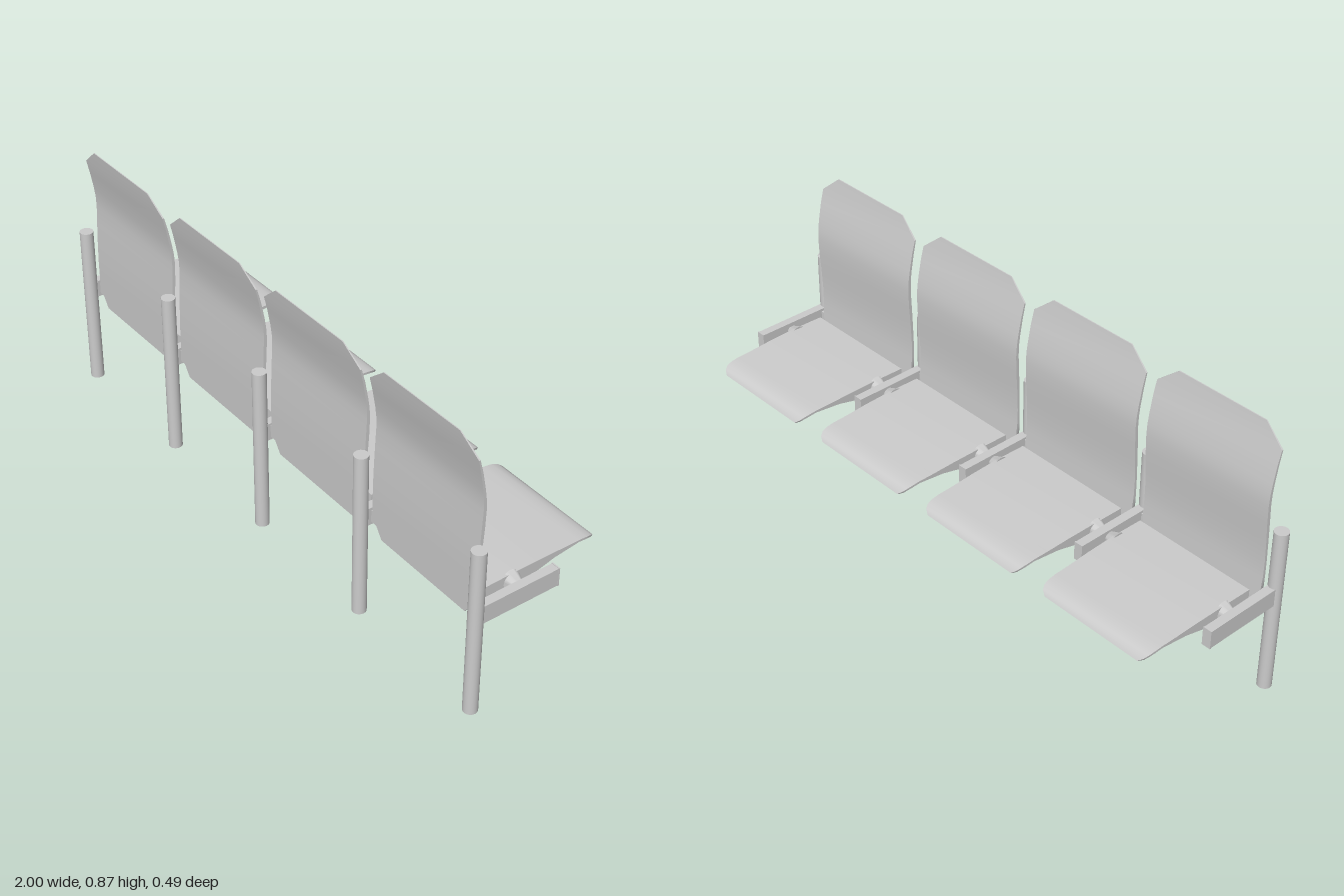
import * as THREE from 'three';
import { toCreasedNormals } from 'three/addons/utils/BufferGeometryUtils.js';

const PITCH = 0.487;

// Lofts a slab through rows of [y1, z1, y2, z2, halfWidth]: two faces and a width.
function slab(rows) {
  const pos = [], idx = [];
  rows.forEach(([y1, z1, y2, z2, w]) =>
    pos.push(-w, y1, z1, w, y1, z1, w, y2, z2, -w, y2, z2));
  for (let r = 0; r < rows.length - 1; r++) {
    for (let i = 0; i < 4; i++) {
      const a = r * 4 + i, b = r * 4 + (i + 1) % 4;
      idx.push(a, a + 4, b, b, a + 4, b + 4);
    }
  }
  const e = (rows.length - 1) * 4;
  idx.push(0, 1, 2, 0, 2, 3, e, e + 2, e + 1, e, e + 3, e + 2);
  const g = new THREE.BufferGeometry();
  g.setAttribute('position', new THREE.Float32BufferAttribute(pos, 3));
  g.setIndex(idx);
  return toCreasedNormals(g, 0.6);
}

// Backrest: [height, seat-side z, rear z, half width]
const BACK = [
  [0.285, 0.184, 0.200, 0.180], [0.345, 0.187, 0.200, 0.222],
  [0.40, 0.191, 0.200, 0.223], [0.447, 0.192, 0.200, 0.223],
  [0.516, 0.189, 0.198, 0.223], [0.586, 0.184, 0.195, 0.223],
  [0.644, 0.182, 0.192, 0.223], [0.68, 0.184, 0.193, 0.223],
  [0.713, 0.189, 0.197, 0.223], [0.77, 0.200, 0.207, 0.223],
  [0.815, 0.212, 0.217, 0.223], [0.872, 0.222, 0.225, 0.155],
];

// Seat pan: [bottom y, bottom z, top y, top z, half width]
const PAN = [
  [0.318, 0.160, 0.362, 0.160, 0.206], [0.311, 0.110, 0.363, 0.110, 0.206],
  [0.312, 0.050, 0.364, 0.050, 0.206], [0.320, 0.000, 0.363, 0.000, 0.205],
  [0.332, -0.050, 0.362, -0.050, 0.204], [0.341, -0.090, 0.360, -0.090, 0.203],
  [0.345, -0.130, 0.358, -0.130, 0.202], [0.350, -0.180, 0.357, -0.180, 0.201],
  [0.347, -0.205, 0.354, -0.207, 0.200], [0.343, -0.222, 0.349, -0.226, 0.197],
  [0.336, -0.235, 0.341, -0.239, 0.190], [0.327, -0.243, 0.329, -0.246, 0.176],
];

export function createModel() {
  const group = new THREE.Group();
  const mat = new THREE.MeshStandardMaterial({ color: 0xcccccc });
  const add = (parent, name, geo, x, y, z) => {
    const m = new THREE.Mesh(geo, mat);
    m.name = name;
    m.position.set(x, y, z);
    parent.add(m);
    return m;
  };

  // Posts, each carrying a forward support arm with an end cap
  const postGeo = new THREE.CylinderGeometry(0.022, 0.022, 0.553, 24);
  const armGeo = new THREE.BoxGeometry(0.028, 0.058, 0.26);
  const capGeo = new THREE.BoxGeometry(0.030, 0.061, 0.004);
  for (const x of [-0.978, -0.4915, -0.005, 0.4815, 0.978]) {
    const support = new THREE.Group();
    support.name = 'support';
    support.position.x = x;
    add(support, 'post', postGeo, 0, 0.2765, 0.225);
    add(support, 'arm', armGeo, 0, 0.337, 0.081);
    add(support, 'armEndCap', capGeo, 0, 0.337, -0.049);
    group.add(support);
  }

  // Four seats with a folding pan, backrest and side pivots
  const backGeo = slab(BACK.map(([y, zf, zr, w]) => [y, zf, y, zr, w]));
  const panGeo = slab(PAN);
  const knobGeo = toCreasedNormals(new THREE.CylinderGeometry(0.02, 0.032, 0.034, 20), 0.6);
  const axleGeo = new THREE.CylinderGeometry(0.014, 0.014, 0.06, 16);
  for (let k = 0; k < 4; k++) {
    const seat = new THREE.Group();
    seat.name = 'seat';
    seat.position.x = -0.735 + k * PITCH;
    add(seat, 'backrest', backGeo, 0, 0, 0);
    add(seat, 'seatPan', panGeo, 0, 0, 0);
    for (const s of [-1, 1]) {
      add(seat, 'pivotKnob', knobGeo, s * 0.214, 0.338, 0.062).rotation.z = -s * Math.PI / 2;
      add(seat, 'pivotAxle', axleGeo, s * 0.215, 0.338, 0.062).rotation.z = Math.PI / 2;
      // Bracket tying the backrest's lower edge to the arm
      add(seat, 'backBracket', new THREE.BoxGeometry(0.03, 0.04, 0.008), s * 0.222, 0.338, 0.194);
    }
    group.add(seat);
  }
  return group;
}
